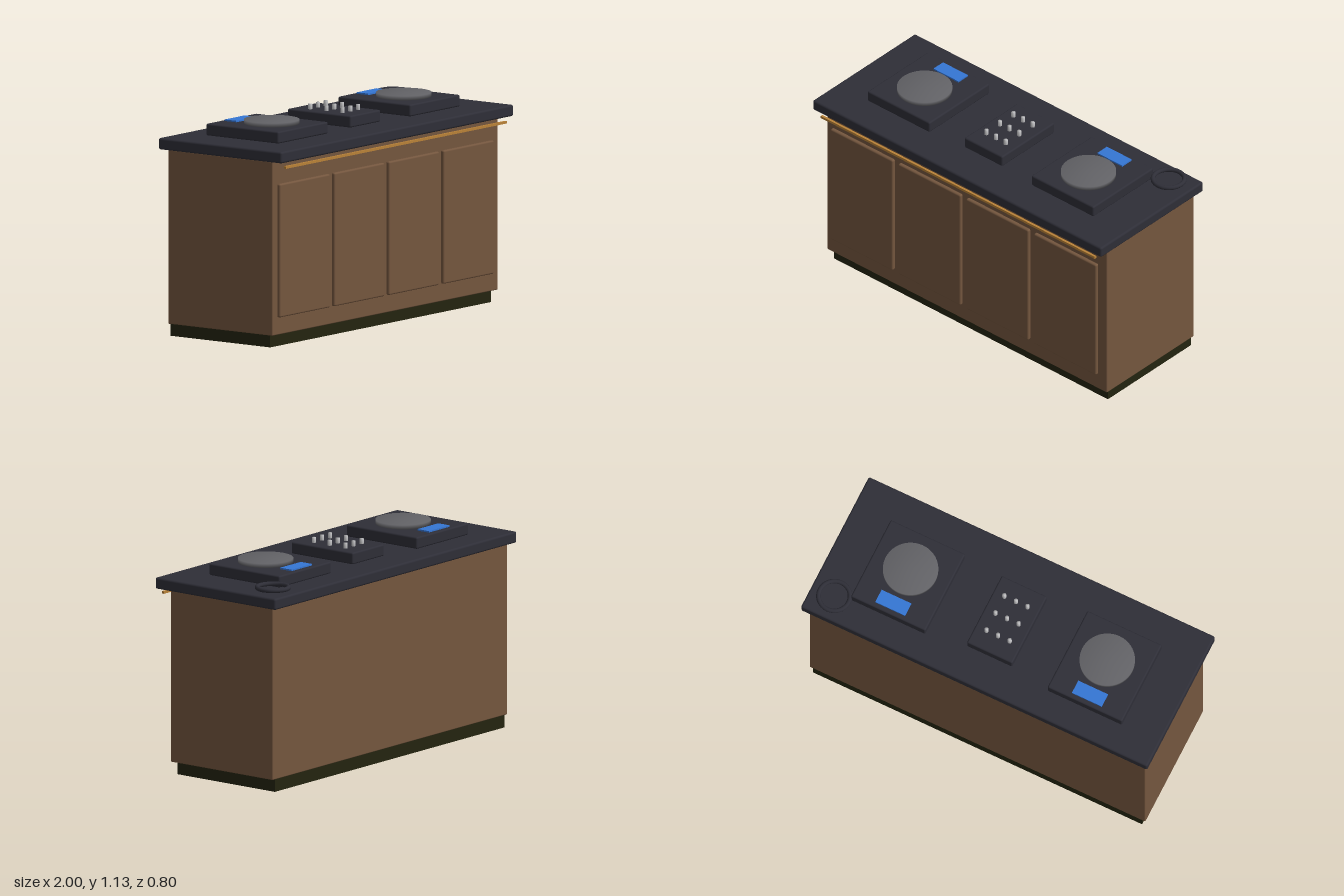
import * as THREE from 'three';
import { RoundedBoxGeometry } from 'three/addons/geometries/RoundedBoxGeometry.js';
import { mergeVertices } from 'three/addons/utils/BufferGeometryUtils.js';

function material(name, color) {
  const m = new THREE.MeshStandardMaterial({ color });
  m.name = name;
  return m;
}

// Cylinder whose cap and side share normals, giving a soft domed shading
function softCylinder(radius, height, sides) {
  const g = new THREE.CylinderGeometry(radius, radius, height, sides);
  g.deleteAttribute('normal');
  g.deleteAttribute('uv');
  const merged = mergeVertices(g, 1e-5);
  merged.computeVertexNormals();
  return merged;
}

export function createModel() {
  const wood = material('wood', 0x74563e);
  const plinthDark = material('plinth dark', 0x23240f);
  const charcoal = material('charcoal', 0x2e2e37);
  const platterGrey = material('platter grey', 0x626266);
  const metal = material('knob metal', 0xc6c6c8);
  const blue = material('screen blue', 0x3576d4);
  const amber = material('amber', 0xb98238);

  const model = new THREE.Group();
  model.name = 'djBooth';

  const add = (name, geometry, mat, x, y, z, parent = model) => {
    const mesh = new THREE.Mesh(geometry, mat);
    mesh.name = name;
    mesh.position.set(x, y, z);
    parent.add(mesh);
    return mesh;
  };
  const rounded = (w, h, d, r) => new RoundedBoxGeometry(w, h, d, 3, r);

  // Cabinet
  add('plinth', new THREE.BoxGeometry(1.9, 0.07, 0.648), plinthDark, 0, 0.035, -0.034);
  add('cabinet', rounded(1.94, 0.915, 0.68, 0.006), wood, 0, 0.5225, -0.02);
  add('countertop', rounded(2, 0.06, 0.8, 0.011), charcoal, 0, 1.01, 0);

  // Four raised front panels
  for (let i = 0; i < 4; i++) {
    add('frontPanel', rounded(0.432, 0.7, 0.024, 0.009), wood, -0.715 + i * 0.47, 0.508, 0.328);
  }

  // Light strip under the counter edge
  add('lightStrip', new THREE.BoxGeometry(1.9, 0.013, 0.013), amber, 0, 0.953, 0.386);

  // Two decks with platter and screen
  for (const side of [-1, 1]) {
    const deck = new THREE.Group();
    deck.name = side < 0 ? 'rightDeck' : 'leftDeck';
    deck.position.set(side * 0.568, 1.04, 0);
    model.add(deck);
    add('deckBody', rounded(0.43, 0.062, 0.47, 0.009), charcoal, 0, 0.031, -0.019, deck);
    add('platter', softCylinder(0.144, 0.024, 48), platterGrey, 0, 0.072, 0.011, deck);
    add('screen', new THREE.BoxGeometry(0.172, 0.008, 0.075), blue, 0, 0.066, -0.192, deck);
  }

  // Mixer with a grid of knobs
  const mixer = new THREE.Group();
  mixer.name = 'mixer';
  mixer.position.set(0, 1.04, -0.012);
  model.add(mixer);
  add('mixerBody', rounded(0.262, 0.062, 0.41, 0.009), charcoal, 0, 0.031, 0, mixer);
  const knob = softCylinder(0.011, 0.03, 16);
  for (let row = -1; row <= 1; row++) {
    for (let col = -1; col <= 1; col++) {
      add('knob', knob, metal, col * 0.067, 0.075, row * 0.105, mixer);
    }
  }

  // Headphone band lying on the back corner
  const band = add('headphoneBand', new THREE.TorusGeometry(0.082, 0.012, 12, 48), charcoal, 0.867, 1.062, -0.278);
  band.rotation.x = Math.PI / 2;

  return model;
}
